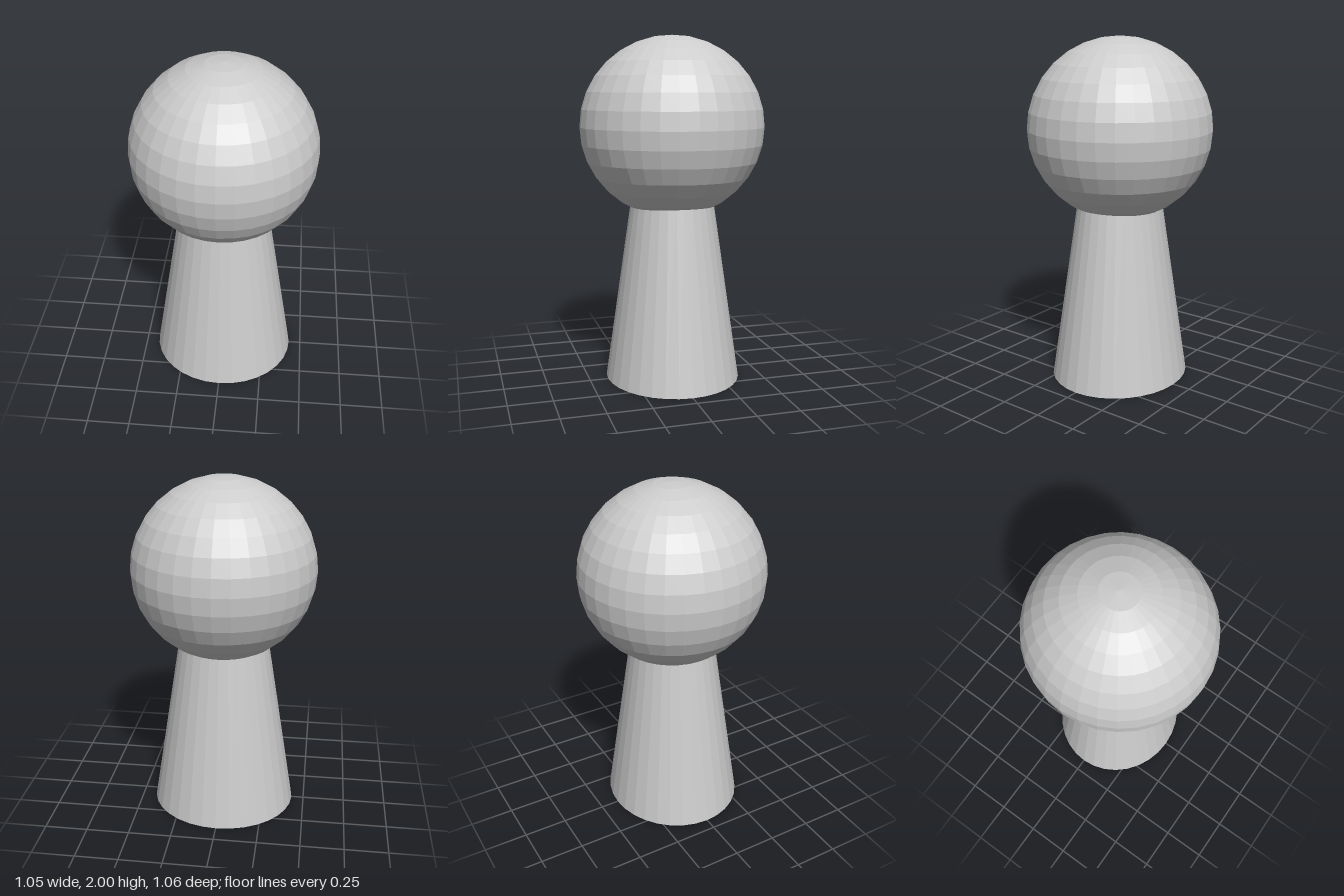
import * as THREE from 'three';

export function createModel() {
  const group = new THREE.Group();
  group.name = 'pegFigure';
  const material = new THREE.MeshStandardMaterial({ color: 0xcccccc, flatShading: true });

  const addPart = (name, geometry, y, scaleX, scaleZ, scaleY = 1) => {
    const mesh = new THREE.Mesh(geometry, material);
    mesh.name = name;
    mesh.position.y = y;
    mesh.scale.set(scaleX, scaleY, scaleZ);
    group.add(mesh);
  };

  // Tapered oval body, its top sunk into the head
  const bodyHeight = 1.1;
  addPart('body', new THREE.CylinderGeometry(0.593, 1, bodyHeight, 32), bodyHeight / 2, 0.427, 0.393);

  // Slightly oval ball head
  addPart('head', new THREE.SphereGeometry(1, 32, 16), 1.48, 0.527, 0.532, 0.52);

  return group;
}
